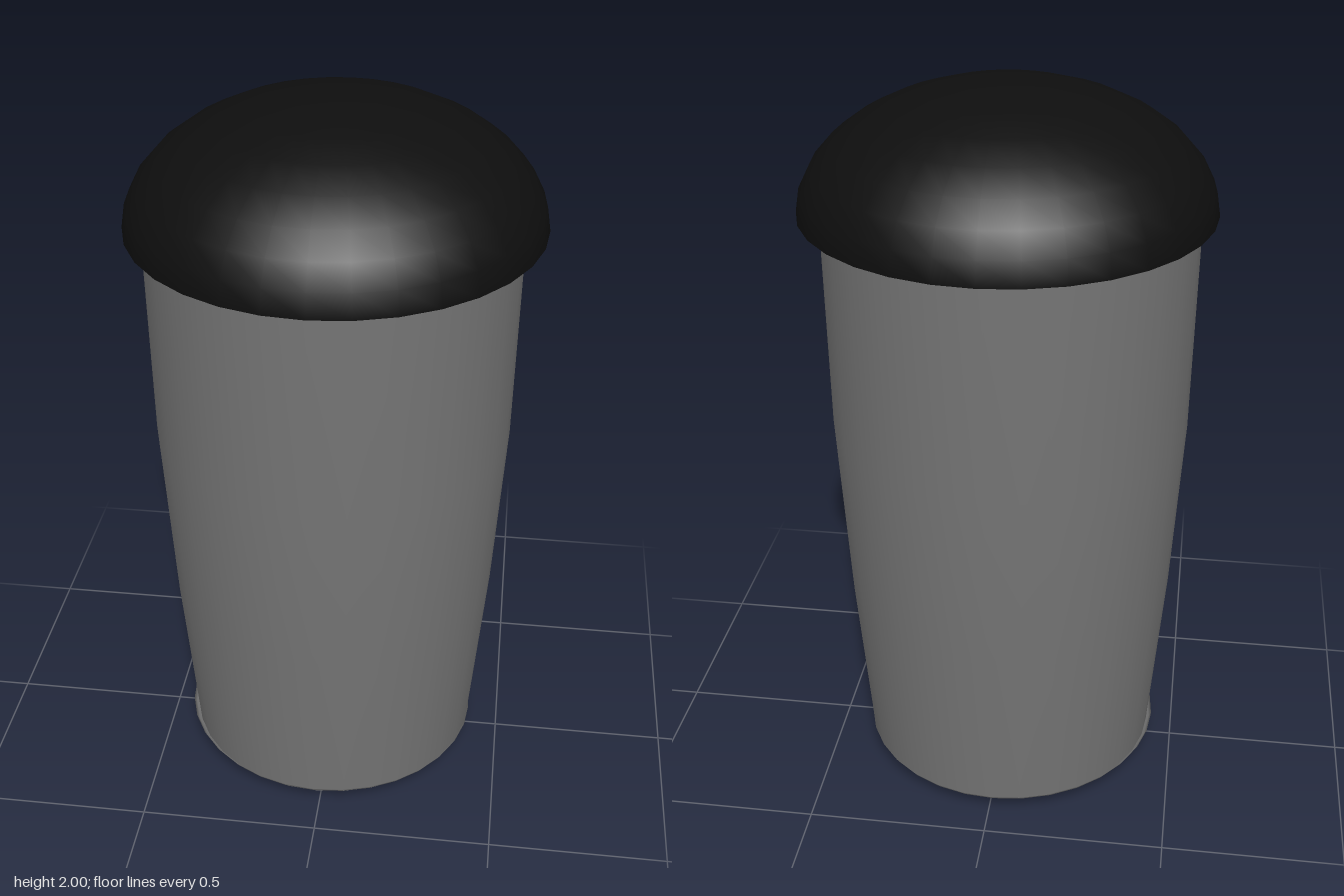
import * as THREE from 'three';

const SEGMENTS = 32;

function addPart(group, name, geometry, color) {
  const mesh = new THREE.Mesh(
    geometry,
    new THREE.MeshStandardMaterial({ color, side: THREE.DoubleSide })
  );
  mesh.name = name;
  group.add(mesh);
  return mesh;
}

export function createModel() {
  const group = new THREE.Group();
  group.name = 'lidded tumbler';

  // Tapered cup wall, bulging slightly toward the top
  const profile = [[0.418, 0.06], [0.46, 0.57], [0.488, 1.07], [0.496, 1.68]]
    .map(([r, y]) => new THREE.Vector2(r, y));
  const wall = addPart(group, 'cupWall', new THREE.LatheGeometry(profile, SEGMENTS), 0x757575);
  wall.position.set(-0.008, 0, -0.008);

  // Shallow rounded base, tipped very slightly
  const bowl = new THREE.SphereGeometry(1, SEGMENTS, 8, 0, Math.PI * 2, Math.PI / 2, Math.PI / 2);
  const base = addPart(group, 'cupBase', bowl, 0x757575);
  base.scale.set(0.427, 0.067, 0.422);
  base.position.set(-0.014, 0.068, -0.003);
  base.rotation.set(-0.016, 0, -0.016);

  // Domed lid overhanging the cup
  const dome = new THREE.SphereGeometry(1, SEGMENTS, 8, 0, Math.PI * 2, 0, Math.PI / 2);
  const lid = addPart(group, 'domeLid', dome, 0x0e0e0e);
  lid.scale.set(0.546, 0.327, 0.555);
  lid.position.y = 1.673;

  return group;
}
